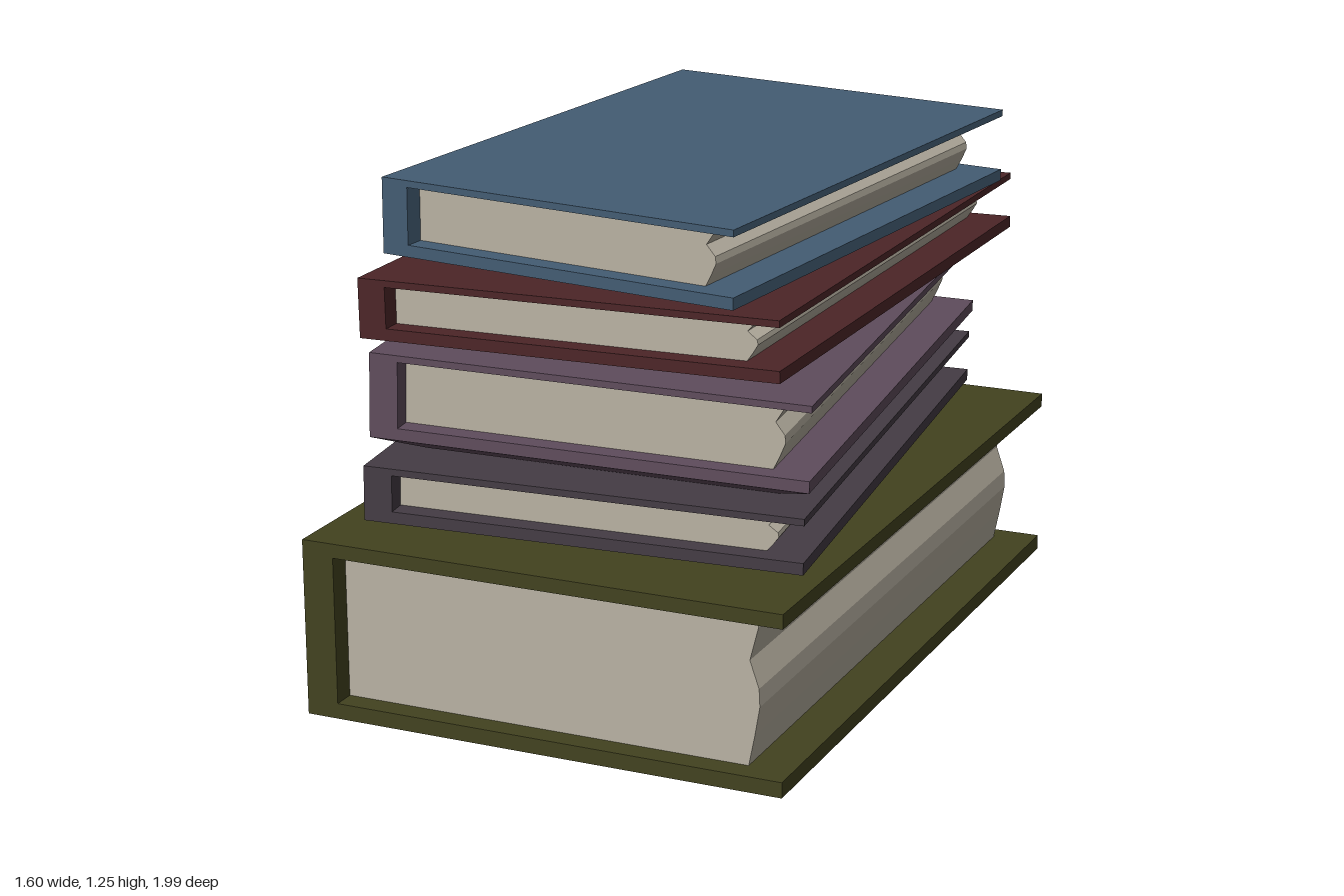
import * as THREE from 'three';

const mat = (name, color) => {
  const m = new THREE.MeshStandardMaterial({ color });
  m.name = name;
  return m;
};

// Prism with an x-y outline, centred along z
function prism(points, length) {
  const shape = new THREE.Shape(points.map(([x, y]) => new THREE.Vector2(x, y)));
  const g = new THREE.ExtrudeGeometry(shape, { depth: length, bevelEnabled: false });
  return g.translate(0, 0, -length / 2);
}

// Slab whose underside is smaller than its top
function taperedSlab(w, h, l, inset) {
  const g = new THREE.BoxGeometry(w, h, l);
  const p = g.attributes.position;
  for (let i = 0; i < p.count; i++) {
    if (p.getY(i) > 0) continue;
    p.setX(i, p.getX(i) - Math.sign(p.getX(i)) * inset);
    p.setZ(i, p.getZ(i) - Math.sign(p.getZ(i)) * inset);
  }
  g.computeVertexNormals();
  return g.translate(0, -h / 2, 0);
}

function makeBook(b, paper) {
  const book = new THREE.Group();
  book.name = b.name;
  const { w, l, h, lower, upper, spine, lip, drop } = b;
  const x0 = -w / 2, x1 = w / 2;
  const coverMat = mat(b.name + ' cover', b.color);
  const add = (name, geometry, material) => {
    const m = new THREE.Mesh(geometry, material);
    m.name = name;
    book.add(m);
  };

  // Both boards and the spine
  add('cover', prism([
    [x0, 0], [x1, 0], [x1, lower], [x0 + spine, lower],
    [x0 + spine, h - upper], [x1, h - upper], [x1, h], [x0, h],
  ], l), coverMat);

  // Sloping underside of the lower board
  if (drop) add('underside', taperedSlab(w, drop, l, 0.1), coverMat);

  // Page block with a wavy fore edge
  const fore = x1 - lip - 0.02, ph = h - lower - upper;
  const wave = [[0, -0.022], [0.2, -0.008], [0.4, 0.004], [0.52, 0.002], [0.7, -0.02], [0.92, 0], [1, -0.002]];
  add('pages', prism([
    [x0 + spine, lower],
    ...wave.map(([t, dx]) => [fore + dx, lower + t * ph]),
    [x0 + spine, h - upper],
  ], l - 2 * b.inset), paper);

  // Place, turn and lean the book
  const [slopeX, slopeZ] = b.slope;
  const lean = new THREE.Quaternion().setFromUnitVectors(
    new THREE.Vector3(0, 1, 0), new THREE.Vector3(-slopeX, 1, -slopeZ).normalize());
  const turn = new THREE.Quaternion().setFromAxisAngle(new THREE.Vector3(0, 1, 0), b.turn);
  book.quaternion.copy(lean.multiply(turn));
  book.position.set(...b.at);
  return book;
}

export function createModel() {
  const model = new THREE.Group();
  model.name = 'bookStack';
  const paper = mat('paper', 0xb8b1a2);
  const thin = { lower: 0.028, upper: 0.016, spine: 0.068, lip: 0.055, inset: 0.05 };

  const books = [
    { name: 'oliveBook', color: 0x42421f, w: 1.18, l: 1.74, h: 0.425, lower: 0.037, upper: 0.034,
      spine: 0.078, lip: 0.06, inset: 0.056, drop: 0, turn: 0.266, slope: [0.0125, 0.0125], at: [0, 0.018, 0] },
    { ...thin, name: 'greyBook', color: 0x443c44, w: 1.034, l: 1.507, h: 0.13, drop: 0.035,
      turn: 0.37, slope: [-0.005, 0.013], at: [-0.03, 0.483, 0.005] },
    { ...thin, name: 'purpleBook', color: 0x5f4c5c, w: 1.034, l: 1.507, h: 0.2, drop: 0.045,
      turn: 0.37, slope: [-0.015, 0.017], at: [-0.05, 0.66, -0.04] },
    { ...thin, name: 'redBook', color: 0x4c2527, w: 1.026, l: 1.51, h: 0.14, drop: 0.03,
      turn: 0.266, slope: [0.03, 0.012], at: [-0.015, 0.893, -0.045] },
    { ...thin, name: 'blueBook', color: 0x435c73, w: 0.91, l: 1.34, h: 0.178, drop: 0.03,
      turn: 0.16, slope: [0.003, 0.009], at: [0.01, 1.061, -0.02] },
  ];
  for (const b of books) model.add(makeBook(b, paper));
  return model;
}
